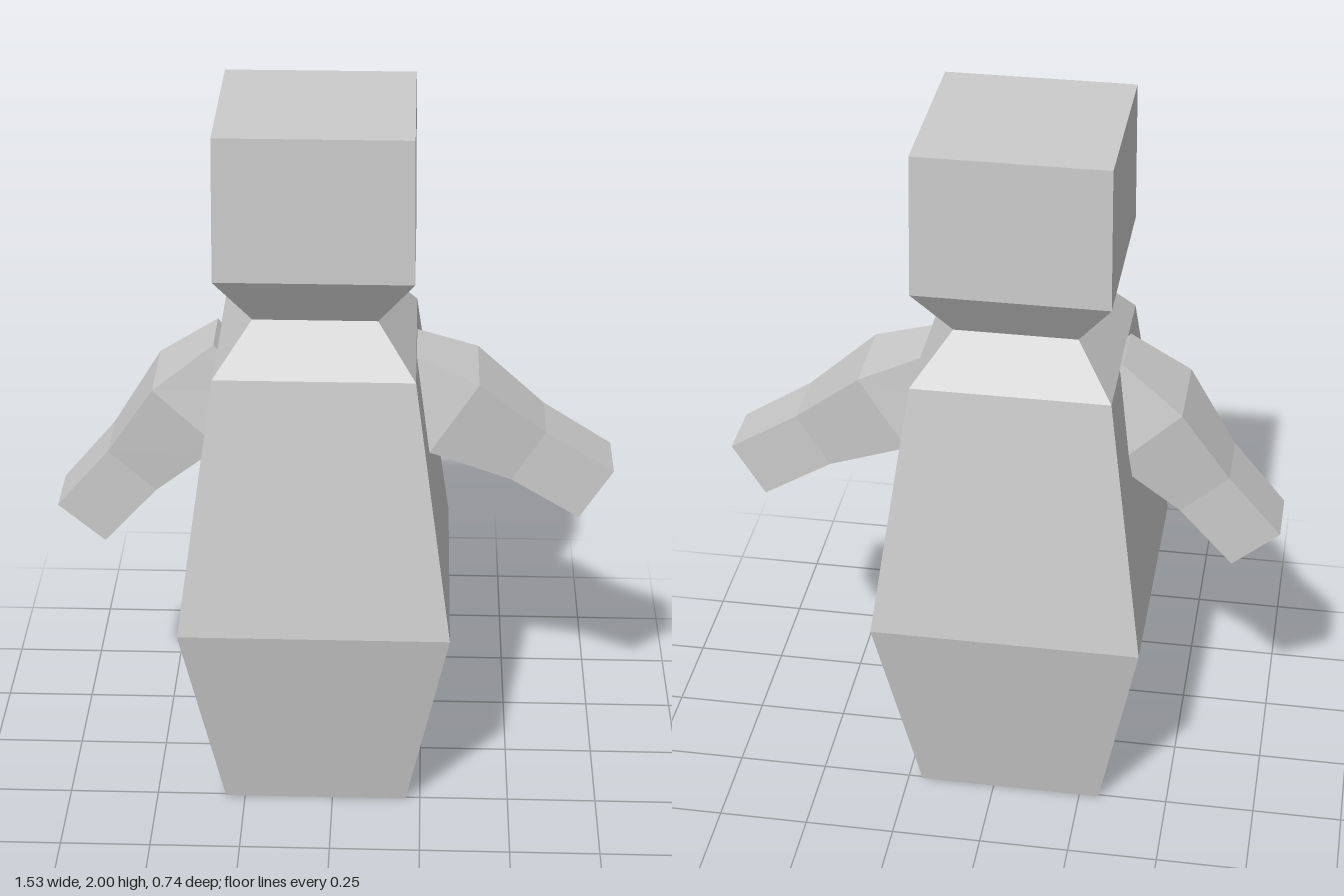
import * as THREE from 'three';

const material = new THREE.MeshStandardMaterial({ color: 0xcccccc, flatShading: true });

// Skin a row of four-cornered rings and cap both ends.
function loft(name, rings) {
  const positions = [];
  const quad = (a, b, c, d) => [a, b, c, a, c, d].forEach((p) => positions.push(...p));
  for (let i = 0; i < rings.length - 1; i++) {
    for (let j = 0; j < 4; j++) {
      const k = (j + 1) % 4;
      quad(rings[i][j], rings[i][k], rings[i + 1][k], rings[i + 1][j]);
    }
  }
  quad(...rings[rings.length - 1]);
  quad(...[...rings[0]].reverse());
  const geometry = new THREE.BufferGeometry();
  geometry.setAttribute('position', new THREE.Float32BufferAttribute(positions, 3));
  geometry.computeVertexNormals();
  const mesh = new THREE.Mesh(geometry, material);
  mesh.name = name;
  return mesh;
}

// Horizontal square ring around the body axis.
const BODY_X = -0.048;
const square = ([y, h]) => [
  [BODY_X + h, y, h], [BODY_X + h, y, -h], [BODY_X - h, y, -h], [BODY_X - h, y, h],
];

// Arm ring from its top and bottom edges and half depth; side is +1 left, -1 right.
const armRing = (side) => ([tx, ty, bx, by, h]) => {
  const z = h * side;
  return [[bx, by, z], [bx, by, -z], [tx, ty, -z], [tx, ty, z]];
};

export function createModel() {
  const group = new THREE.Group();
  group.name = 'figure';

  // Tapered torso, pinched neck and square head in one skin: [height, half width]
  group.add(loft('bodyAndHead', [
    [0, 0.257], [0.6, 0.371], [1.33, 0.268], [1.46, 0.166], [1.607, 0.262], [2, 0.257],
  ].map(square)));

  // Arms, shoulder to tip: [top x, top y, bottom x, bottom y, half depth]
  group.add(loft('leftArm', [
    [0.2, 1.328, 0.12, 1.17, 0.085],
    [0.39, 1.255, 0.26, 1.05, 0.124],
    [0.575, 1.1, 0.485, 0.953, 0.09],
    [0.765, 0.98, 0.675, 0.835, 0.085],
  ].map(armRing(1))));
  group.add(loft('rightArm', [
    [-0.325, 1.345, -0.21, 1.21, 0.085],
    [-0.49, 1.225, -0.315, 1.055, 0.124],
    [-0.622, 1.02, -0.492, 0.902, 0.09],
    [-0.768, 0.847, -0.64, 0.737, 0.085],
  ].map(armRing(-1))));

  return group;
}
